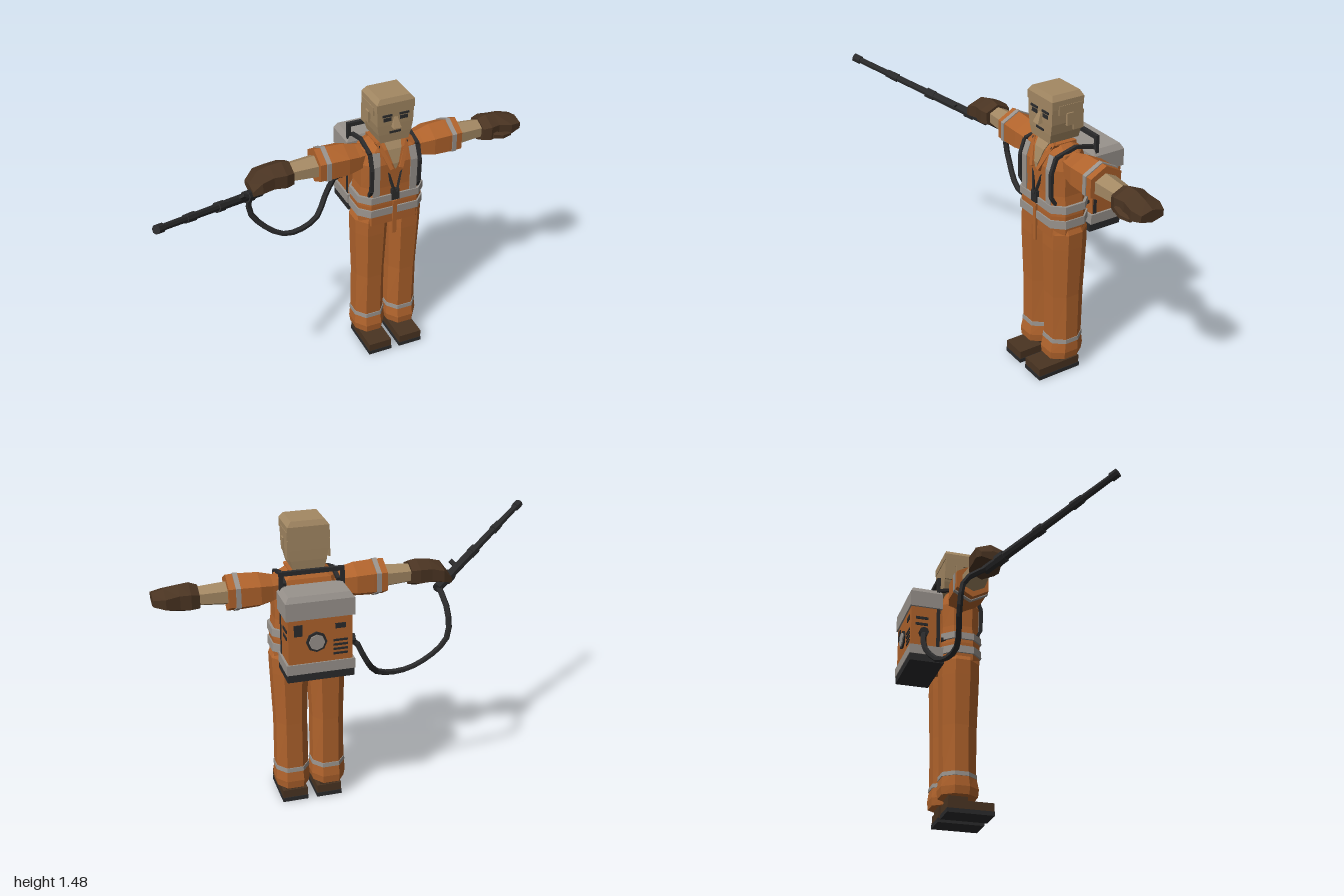
import * as THREE from 'three';

const mat = (name, color) => {
  const m = new THREE.MeshStandardMaterial({ color, flatShading: true });
  m.name = name;
  return m;
};

// Unit cross-sections, listed counter-clockwise
const OCT = [[1, -.4], [1, .4], [.5, 1], [-.5, 1], [-1, .4], [-1, -.4], [-.5, -1], [.5, -1]];
const CHEST = [[1, -.5], [1, .5], [.72, 1], [-.72, 1], [-1, .5], [-1, -.5], [-.72, -1], [.72, -1]];
const HEX = [[1, -.5], [1, .5], [0, 1], [-1, .5], [-1, -.5], [0, -1]];
const BOX = [[1, -1], [1, 1], [-1, 1], [-1, -1]];

// Loft rows [t, c1, c2, r1, r2]: along y (c = x, z) or along x (c = z, y)
function loft(rows, ring, axis = 'y') {
  rows = [...rows].sort((a, b) => a[0] - b[0]);
  const n = ring.length, pos = [], idx = [];
  const put = (t, u, v) => (axis === 'y' ? pos.push(u, t, v) : pos.push(t, v, u));
  rows.forEach(([t, a, b, r, s]) => ring.forEach(([u, v]) => put(t, a + r * u, b + s * v)));
  for (let i = 0; i < rows.length - 1; i++) for (let j = 0; j < n; j++) {
    const a = i * n + j, b = i * n + (j + 1) % n;
    idx.push(a, a + n, b, b, a + n, b + n);
  }
  const last = (rows.length - 1) * n;
  for (let j = 1; j < n - 1; j++) idx.push(0, j, j + 1, last, last + j + 1, last + j);
  const g = new THREE.BufferGeometry();
  g.setAttribute('position', new THREE.Float32BufferAttribute(pos, 3));
  g.setIndex(idx);
  const out = g.toNonIndexed();
  out.computeVertexNormals();
  return out;
}

export function createModel() {
  const orange = mat('orange cloth', 0xb0632c), grey = mat('reflective grey', 0x99938d);
  const dark = mat('black rubber', 0x2b2b2c), brown = mat('brown leather', 0x4a3422);
  const skin = mat('skin', 0xa38863);
  const model = new THREE.Group();
  const body = new THREE.Group();
  body.name = 'worker';
  body.position.x = .28;
  model.add(body);

  const add = (name, geo, m) => {
    const mesh = new THREE.Mesh(geo, m);
    mesh.name = name;
    body.add(mesh);
    return mesh;
  };
  // Box given by its limits
  const box = (name, m, x0, x1, y0, y1, z0, z1) => {
    const b = add(name, new THREE.BoxGeometry(x1 - x0, y1 - y0, z1 - z0), m);
    b.position.set((x0 + x1) / 2, (y0 + y1) / 2, (z0 + z1) / 2);
    return b;
  };
  // Place a y-long geometry between two points
  const span = (name, m, a, b, make) => {
    const p = new THREE.Vector3(...a), q = new THREE.Vector3(...b), d = q.clone().sub(p);
    const mesh = add(name, make(d.length()), m);
    mesh.position.copy(p).add(q).multiplyScalar(.5);
    mesh.quaternion.setFromUnitVectors(new THREE.Vector3(0, 1, 0), d.normalize());
    return mesh;
  };
  const bar = (name, m, a, b, w, d) => span(name, m, a, b, l => new THREE.BoxGeometry(w, l, d));
  const rod = (name, m, a, b, r, r2 = r) => span(name, m, a, b, l => new THREE.CylinderGeometry(r2, r, l, 8));

  // Torso with two reflective belts
  add('torso', loft([[.785, 0, -.07, .17, .098], [.9, 0, -.07, .172, .1], [1, 0, -.07, .16, .096],
    [1.13, 0, -.07, .16, .1], [1.2, 0, -.07, .145, .08], [1.235, 0, -.07, .085, .055]], CHEST), orange);
  for (const [y0, y1] of [[.84, .88], [.918, .955]])
    add('beltBand', loft([[y0, 0, -.07, .18, .107], [y1, 0, -.07, .178, .107]], CHEST), grey);
  box('frontFlap', orange, -.01, .012, .72, .915, .03, .04);
  add('openNeck', loft([[1.1, 0, 0, .003, .034], [1.13, 0, 0, .015, .034], [1.2, 0, 0, .036, .015],
    [1.235, 0, -.02, .045, .012]], BOX), skin);
  add('neck', loft([[1.15, 0, -.07, .055, .06], [1.26, 0, -.07, .055, .06]], OCT), skin);
  box('buckle', dark, -.02, .02, .925, .985, .025, .045);

  for (const s of [1, -1]) {
    // Collar, chest strips, pack straps and lanyard
    bar('collar', orange, [s * .08, 1.235, -.025], [s * .025, 1.1, .028], .04, .02);
    bar('collarSide', orange, [s * .075, 1.225, -.13], [s * .075, 1.225, -.02], .025, .025);
    bar('chestStrip', grey, [s * .1, .95, .026], [s * .1, 1.13, .029], .036, .012);
    bar('chestStripTop', grey, [s * .1, 1.125, .029], [s * .095, 1.195, .008], .036, .012);
    bar('lanyard', dark, [s * .075, 1.225, -.005], [s * .006, .97, .042], .013, .01);
    const strap = [[1.2, -.2], [1.225, -.1], [1.195, .01], [1.12, .036], [1, .034], [.94, 0], [.92, -.18]];
    for (let i = 0; i < strap.length - 1; i++)
      bar('packStrap', dark, [s * .128, ...strap[i]], [s * .128, ...strap[i + 1]], .018, .016);

    // Trouser leg, band and boot
    const c = s * .092;
    add('leg', loft([[.09, c, -.072, .08, .092], [.13, c, -.072, .086, .096], [.2, c, -.075, .08, .084],
      [.45, c, -.075, .078, .088], [.72, c, -.074, .088, .097], [.8, c, -.074, .09, .097],
      [.83, c, -.07, .076, .09]], OCT), orange);
    add('legBand', loft([[.182, c, -.075, .0845, .09], [.204, c, -.075, .083, .088]], OCT), grey);
    const b = s * .088;
    box('ankle', brown, b - .045, b + .045, .06, .1, -.13, -.03);
    box('boot', brown, b - .063, b + .063, .022, .064, -.137, .098);
    box('sole', dark, b - .065, b + .065, 0, .022, -.14, .1);

    // Sleeve, band and forearm
    add('sleeve', loft([[s * .08, -.08, 1.155, .05, .045], [s * .17, -.08, 1.145, .07, .07],
      [s * .23, -.083, 1.146, .085, .086], [s * .31, -.083, 1.146, .085, .09],
      [s * .38, -.083, 1.146, .083, .09]], HEX, 'x'), orange);
    add('sleeveBand', loft([[s * .325, -.083, 1.146, .089, .095], [s * .348, -.083, 1.146, .089, .095]], HEX, 'x'), grey);
    add('forearm', loft([[s * .37, -.08, 1.145, .058, .058], [s * .54, -.08, 1.145, .046, .045]], HEX, 'x'), skin);
    // Eyes and brows
    box('brow', dark, s * .045 - .025, s * .045 + .025, 1.387, 1.397, .014, .02);
    box('eye', dark, s * .043 - .02, s * .043 + .02, 1.362, 1.38, .013, .018);
    box('ear', skin, s * .103 - .006, s * .103 + .006, 1.33, 1.39, -.095, -.06);
    // Hair down the side of the head
    box('sideHair', skin, s * .098 - .004, s * .098 + .004, 1.385, 1.43, -.15, -.02);
    box('napeHair', skin, s * .098 - .004, s * .098 + .004, 1.3, 1.39, -.155, -.1);
  }

  // Gloves: an open hand and a curled one
  add('leftGlove', loft([[.51, -.078, 1.14, .065, .06], [.55, -.075, 1.145, .078, .07], [.6, -.078, 1.145, .068, .066],
    [.665, -.075, 1.145, .078, .05], [.72, -.07, 1.148, .06, .03]], HEX, 'x'), brown);
  add('leftThumb', loft([[.56, -.01, 1.13, .02, .02], [.61, 0, 1.122, .02, .018], [.66, -.005, 1.12, .012, .012]], HEX, 'x'), brown);
  add('rightGlove', loft([[-.51, -.078, 1.145, .065, .06], [-.55, -.077, 1.145, .076, .068], [-.61, -.08, 1.145, .07, .062],
    [-.67, -.08, 1.135, .075, .056], [-.715, -.08, 1.105, .06, .025]], HEX, 'x'), brown);

  // Head
  add('head', loft([[1.245, 0, -.07, .074, .08], [1.29, 0, -.07, .086, .083], [1.34, 0, -.07, .094, .084],
    [1.42, 0, -.07, .096, .084], [1.47, 0, -.07, .086, .078]], BOX), skin);
  add('hair', loft([[1.415, 0, -.07, .1, .087], [1.455, 0, -.07, .099, .087], [1.48, 0, -.07, .08, .075]], BOX), skin);
  add('nose', loft([[1.328, 0, .012, .021, .028], [1.378, 0, .012, .009, .006]], BOX), skin);
  box('mouth', dark, -.03, .03, 1.293, 1.304, .008, .017);

  // Backpack
  add('packCap', loft([[1.08, 0, -.266, .163, .085], [1.165, 0, -.266, .163, .085], [1.192, 0, -.264, .145, .073]], BOX), grey);
  box('packBody', orange, -.152, .152, .86, 1.08, -.343, -.185);
  box('packRim', grey, -.163, .163, .81, .86, -.35, -.175);
  box('packBase', dark, -.16, .16, .772, .81, -.347, -.17);
  for (const s of [1, -1]) box('framePost', dark, s * .146 - .009, s * .146 + .009, .86, 1.265, -.21, -.192);
  box('frameBar', dark, -.155, .155, 1.245, 1.265, -.21, -.192);
  for (const y of [.975, 1.01]) for (const s of [1, -1])
    box('sideSlot', dark, s * .153 - .003, s * .153 + .003, y, y + .014, -.32, -.255);
  // Pack dial, vents and switches
  rod('dialRing', dark, [.02, .965, -.34], [.02, .965, -.351], .05);
  rod('dial', grey, [.02, .965, -.345], [.02, .965, -.357], .038);
  for (let i = 0; i < 4; i++) box('vent', dark, -.13, -.06, .89 + i * .022, .9 + i * .022, -.347, -.34);
  box('switchPanel', dark, .085, .125, 1.0, 1.055, -.348, -.34);
  box('display', dark, -.12, -.07, 1.02, 1.045, -.347, -.34);

  // Hose from pack to wand
  rod('hosePort', dark, [-.145, .93, -.28], [-.18, .93, -.28], .025);
  const path = [[-.15, .93, -.275], [-.185, .91, -.285], [-.235, .81, -.29], [-.315, .715, -.24], [-.5, .7, -.2],
    [-.66, .84, -.23], [-.672, .97, -.21], [-.665, 1.06, -.1]].map(p => new THREE.Vector3(...p));
  add('hose', new THREE.TubeGeometry(new THREE.CatmullRomCurve3(path, false, 'centripetal'), 18, .015, 6), dark);

  // Spray wand
  const at = t => [-.665 - .605 * t, 1.06 + .238 * t, -.095 + .43 * t];
  for (const [t0, t1, r0, r1] of [[-.02, .4, .024, .022], [.08, .14, .03, .03], [.38, .44, .026, .026], [.4, .95, .019, .016],
    [.66, .74, .023, .021], [.95, 1, .022, .022]])
    rod('wand', dark, at(t0), at(t1), r0, r1);
  const [tx, ty, tz] = at(.22);
  bar('trigger', dark, [tx, ty, tz], [tx + .03, ty + .03, tz + .025], .022, .015);
  return model;
}
